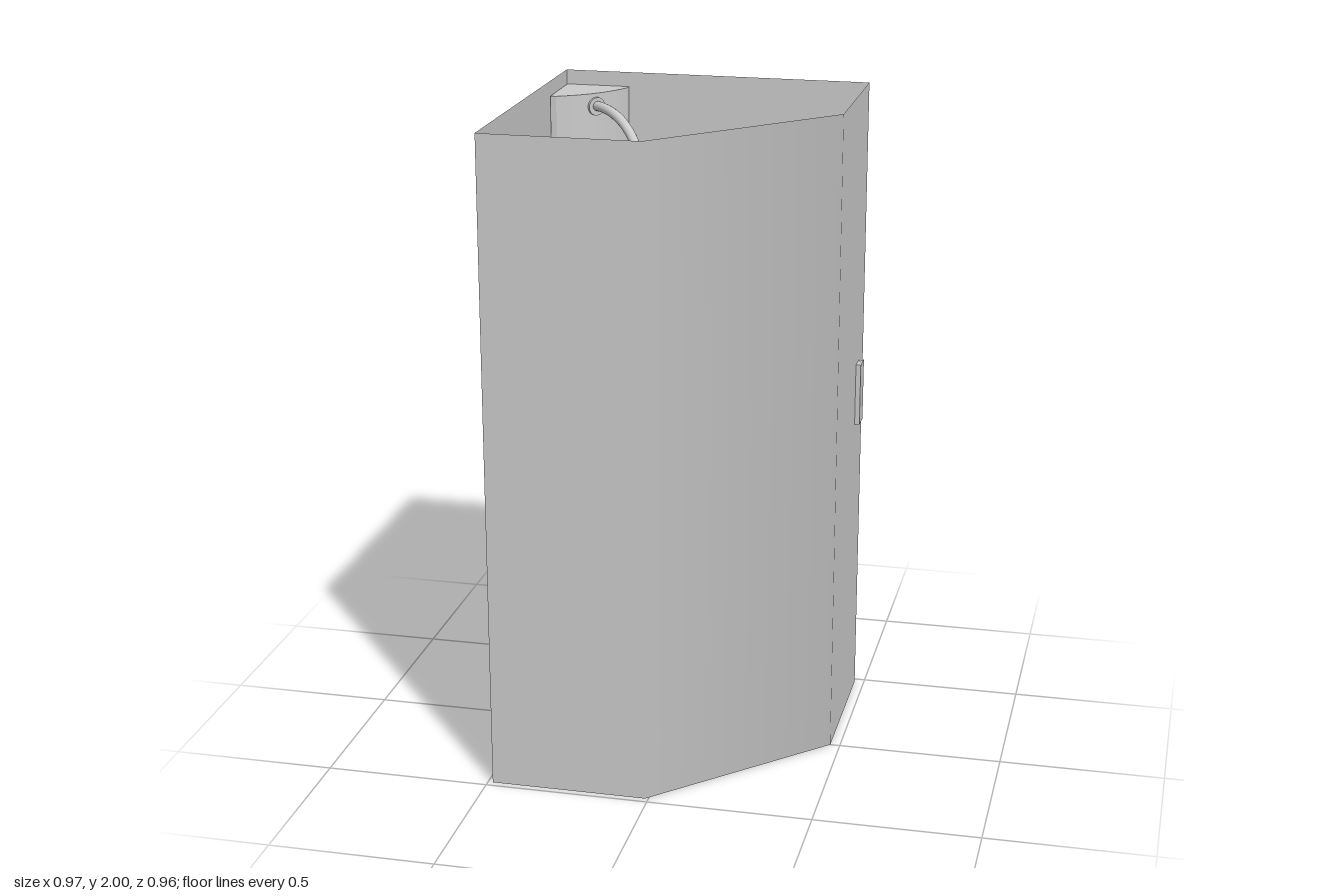
import * as THREE from 'three';

const material = new THREE.MeshStandardMaterial({ color: 0xcccccc });
const sheet = new THREE.MeshStandardMaterial({ color: 0xcccccc, side: THREE.DoubleSide });

function part(name, geometry, mat = material) {
  const mesh = new THREE.Mesh(geometry, mat);
  mesh.name = name;
  return mesh;
}

// Upright prism from a plan outline given as [x, z]
function prism(outline, y0, y1) {
  const shape = new THREE.Shape(outline.map(([x, z]) => new THREE.Vector2(x, -z)));
  const geo = new THREE.ExtrudeGeometry(shape, { depth: y1 - y0, bevelEnabled: false });
  return geo.rotateX(-Math.PI / 2).translate(0, y0, 0);
}

// Thin wall from a to b (plan points), with a normal at each end
function wall(a, b, na, nb) {
  const geo = new THREE.BufferGeometry();
  const pos = [a[0], 0, a[1], b[0], 0, b[1], b[0], 2, b[1], a[0], 2, a[1]];
  const nor = [na, nb, nb, na].flatMap(([x, z]) => [x, 0, z]);
  geo.setAttribute('position', new THREE.Float32BufferAttribute(pos, 3));
  geo.setAttribute('normal', new THREE.Float32BufferAttribute(nor, 3));
  geo.setIndex([0, 1, 2, 0, 2, 3]);
  return geo;
}

export function createModel() {
  const root = new THREE.Group();
  root.name = 'showerCabin';

  // Enclosure walls; the slanted one is shaded as a rounded corner
  const front = [0, 1], side = [1, 0];
  const plan = [[-0.485, 0.48], [-0.01, 0.48], [0.47, 0], [0.47, -0.48], [-0.485, -0.48]];
  const walls = [
    ['frontWall', front, front], ['slantedDoor', front, side], ['leftWall', side, side],
    ['backWall', [0, -1], [0, -1]], ['rightWall', [-1, 0], [-1, 0]],
  ];
  walls.forEach(([name, na, nb], i) =>
    root.add(part(name, wall(plan[i], plan[(i + 1) % 5], na, nb), sheet)));

  // Floor tray just inside the walls
  root.add(part('tray', prism(plan.map(([x, z]) => [x * 0.997, z * 0.997]), 0, 0.04)));

  // Corner column with a bowed front
  const bow = new THREE.QuadraticBezierCurve(
    new THREE.Vector2(-0.285, -0.46), new THREE.Vector2(-0.342, -0.337), new THREE.Vector2(-0.465, -0.28));
  const column = [[-0.483, -0.478], [-0.483, -0.28],
    ...bow.getPoints(10).reverse().map((p) => [p.x, p.y]), [-0.285, -0.478]];
  root.add(part('cornerColumn', prism(column, 0.04, 1.955)));

  // Shower fittings are built along +z, then turned towards the middle
  const fittings = new THREE.Group();
  fittings.name = 'showerFittings';
  fittings.position.set(-0.36, 0, -0.355);
  fittings.rotation.y = Math.PI / 4;
  root.add(fittings);

  const armPath = new THREE.CubicBezierCurve3(
    new THREE.Vector3(0, 1.915, -0.01), new THREE.Vector3(0, 1.93, 0.13),
    new THREE.Vector3(0, 1.88, 0.25), new THREE.Vector3(0, 1.74, 0.283));
  fittings.add(part('showerArm', new THREE.TubeGeometry(armPath, 24, 0.015, 14)));

  const flange = new THREE.CylinderGeometry(0.028, 0.028, 0.02, 20);
  fittings.add(part('armFlange', flange.rotateX(Math.PI / 2).translate(0, 1.915, 0)));

  const headProfile = [[0, 0], [0.088, 0], [0.086, 0.012], [0.06, 0.028], [0.035, 0.042], [0.02, 0.062], [0.015, 0.08]];
  const head = part('showerHead', new THREE.LatheGeometry(
    headProfile.map(([r, y]) => new THREE.Vector2(r, y)), 32));
  head.position.set(0, 1.69, 0.283);
  fittings.add(head);

  // Pair of taps on the column
  for (const s of [-1, 1]) {
    const knob = new THREE.CylinderGeometry(0.018, 0.018, 0.026, 16);
    fittings.add(part('tap', knob.rotateX(Math.PI / 2).translate(s * 0.032, 1.05, 0.005)));
  }

  // Door handle with a notched finger grip
  const handle = [[0.47, -0.345], [0.485, -0.345], [0.485, -0.408], [0.476, -0.385], [0.47, -0.402]];
  root.add(part('handle', prism(handle, 0.945, 1.14)));

  return root;
}
